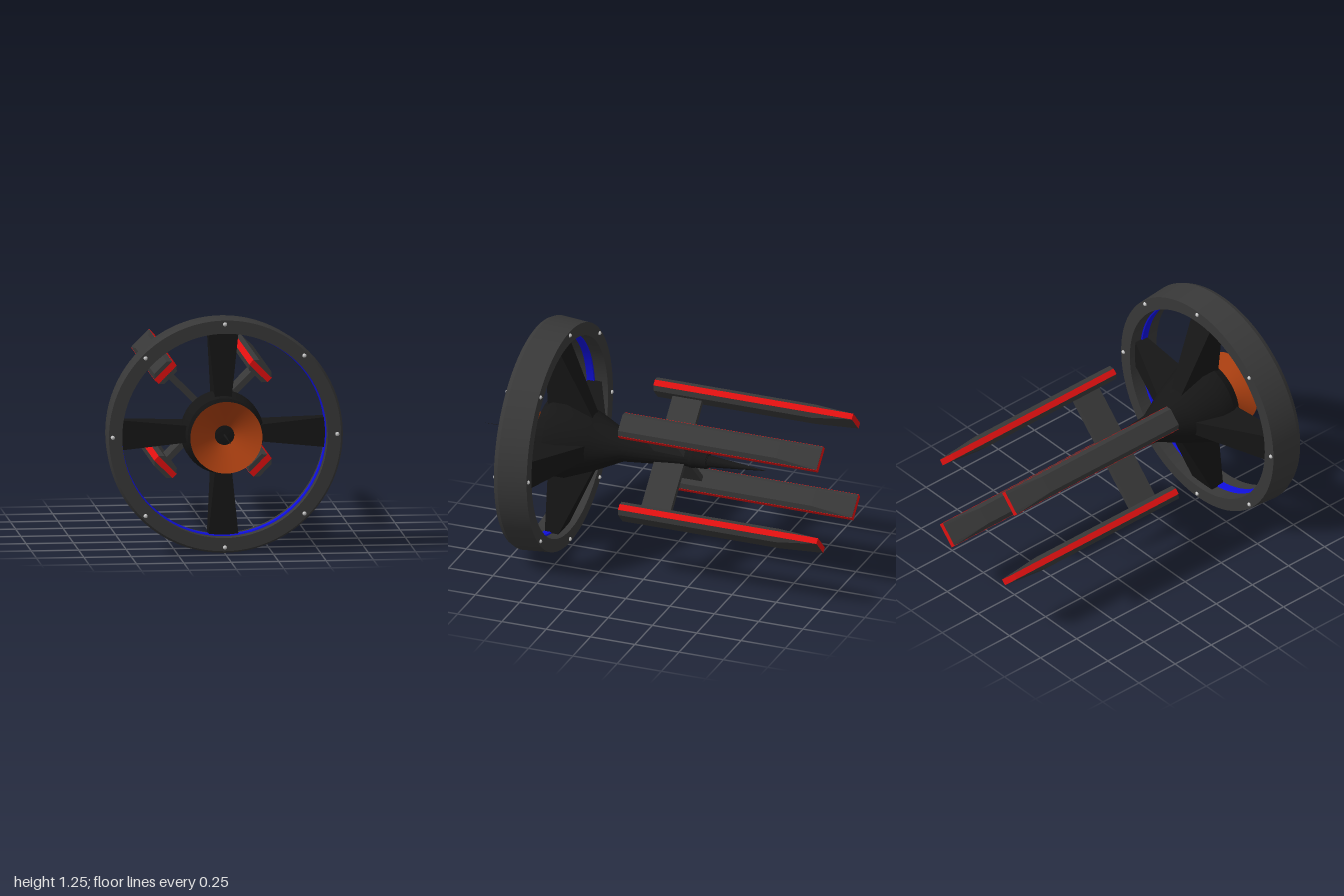
import * as THREE from 'three';
import { toCreasedNormals } from 'three/addons/utils/BufferGeometryUtils.js';
import { ConvexGeometry } from 'three/addons/geometries/ConvexGeometry.js';

const paint = (color, side = THREE.FrontSide) => new THREE.MeshStandardMaterial({ color, side });
const black = paint(0x161616);
const dark = paint(0x383838);
const red = paint(0xe01010);
const blue = paint(0x1010e0);
const orange = paint(0xa83e10, THREE.DoubleSide);
const grey = paint(0xcccccc);

function add(parent, name, geometry, material) {
  const mesh = new THREE.Mesh(geometry, material);
  mesh.name = name;
  parent.add(mesh);
  return mesh;
}

// Revolves [radius, z] points, listed from back to front, about the z axis
function turned(points, segments = 48) {
  const geo = new THREE.LatheGeometry(points.map(([r, z]) => new THREE.Vector2(r, z)), segments);
  return toCreasedNormals(geo.rotateX(Math.PI / 2), 0.45);
}

const hull = (points) => new ConvexGeometry(points.map((p) => new THREE.Vector3(...p)));

// Mirrors [x, y, z] points across x
const mirrored = (points) => points.flatMap(([x, y, z]) => [[x, y, z], [-x, y, z]]);

// Calls build with a group turned so that its y axis points outward
function around(parent, name, count, start, build) {
  for (let i = 0; i < count; i++) {
    const arm = new THREE.Group();
    arm.name = name;
    arm.rotation.z = start + (i / count) * Math.PI * 2;
    build(arm);
    parent.add(arm);
  }
}

export function createModel() {
  const model = new THREE.Group();
  model.name = 'spacecraft';
  const craft = new THREE.Group();
  craft.name = 'craft';
  craft.position.y = 0.625;
  model.add(craft);

  // Outer ring with its coloured inner band
  add(craft, 'outerRing', turned([
    [0.542, 0.515], [0.612, 0.515], [0.624, 0.675], [0.612, 0.7], [0.542, 0.7], [0.542, 0.515],
  ], 96), dark);
  add(craft, 'innerBand', turned([
    [0.545, 0.585], [0.545, 0.635], [0.535, 0.63], [0.535, 0.59], [0.545, 0.585],
  ], 96), blue);

  // Bolts on both faces of the ring
  around(craft, 'ringBolts', 8, 0, (arm) => {
    for (const z of [0.515, 0.7]) {
      add(arm, 'bolt', new THREE.SphereGeometry(0.011, 12, 8), grey).position.set(0, 0.592, z);
    }
  });

  // Hub and tapering hull
  add(craft, 'hull', turned([
    [0, -0.27], [0.038, -0.27], [0.05, -0.1], [0.078, 0.2], [0.155, 0.36], [0.216, 0.515],
    [0.216, 0.59], [0.19, 0.64], [0.12, 0.67], [0, 0.68],
  ]), black);
  add(craft, 'tailCollar', turned([
    [0.036, -0.265], [0.043, -0.265], [0.046, -0.2], [0.05, -0.19], [0.05, -0.17], [0.04, -0.165],
  ], 24), black);
  add(craft, 'tailSpike', turned([[0, -0.6], [0.033, -0.265], [0, -0.265]], 24), black);

  // Spokes widen towards the ring and sweep forward
  around(craft, 'spoke', 4, 0, (arm) => {
    add(arm, 'spokeBlade', hull(mirrored([
      [0.035, 0.1, 0.345], [0.035, 0.1, 0.62],
      [0.08, 0.544, 0.552], [0.08, 0.544, 0.625],
    ])), black);
  });

  // Dish and antenna
  add(craft, 'dish', turned([[0.004, 0.645], [0.19, 0.765]], 64), orange);
  add(craft, 'dishCollar', new THREE.TorusGeometry(0.012, 0.005, 8, 24), grey).position.z = 0.658;
  add(craft, 'antenna', turned([[0.007, 0.645], [0.004, 0.8], [0, 1]], 12), black);

  // Four pods on diagonal pylons
  around(craft, 'podArm', 4, Math.PI / 4, (arm) => {
    add(arm, 'pylon', new THREE.BoxGeometry(0.03, 0.3, 0.165), dark).position.set(0, 0.18, -0.0625);
    const pod = new THREE.Group();
    pod.name = 'pod';
    pod.position.y = 0.354;
    arm.add(pod);
    add(pod, 'podCore', new THREE.BoxGeometry(0.136, 0.033, 1.12), red).position.z = -0.44;
    // Bevelled shells, tapering at the rear
    for (const s of [-1, 1]) {
      add(pod, 'podShell', hull(mirrored([
        [0.067, s * 0.016, 0.12], [0.046, s * 0.038, 0.12],
        [0.046, s * 0.038, -0.77],
        [0.067, s * 0.016, -1], [0.05, s * 0.018, -1],
      ])), dark);
    }
  });

  return model;
}
